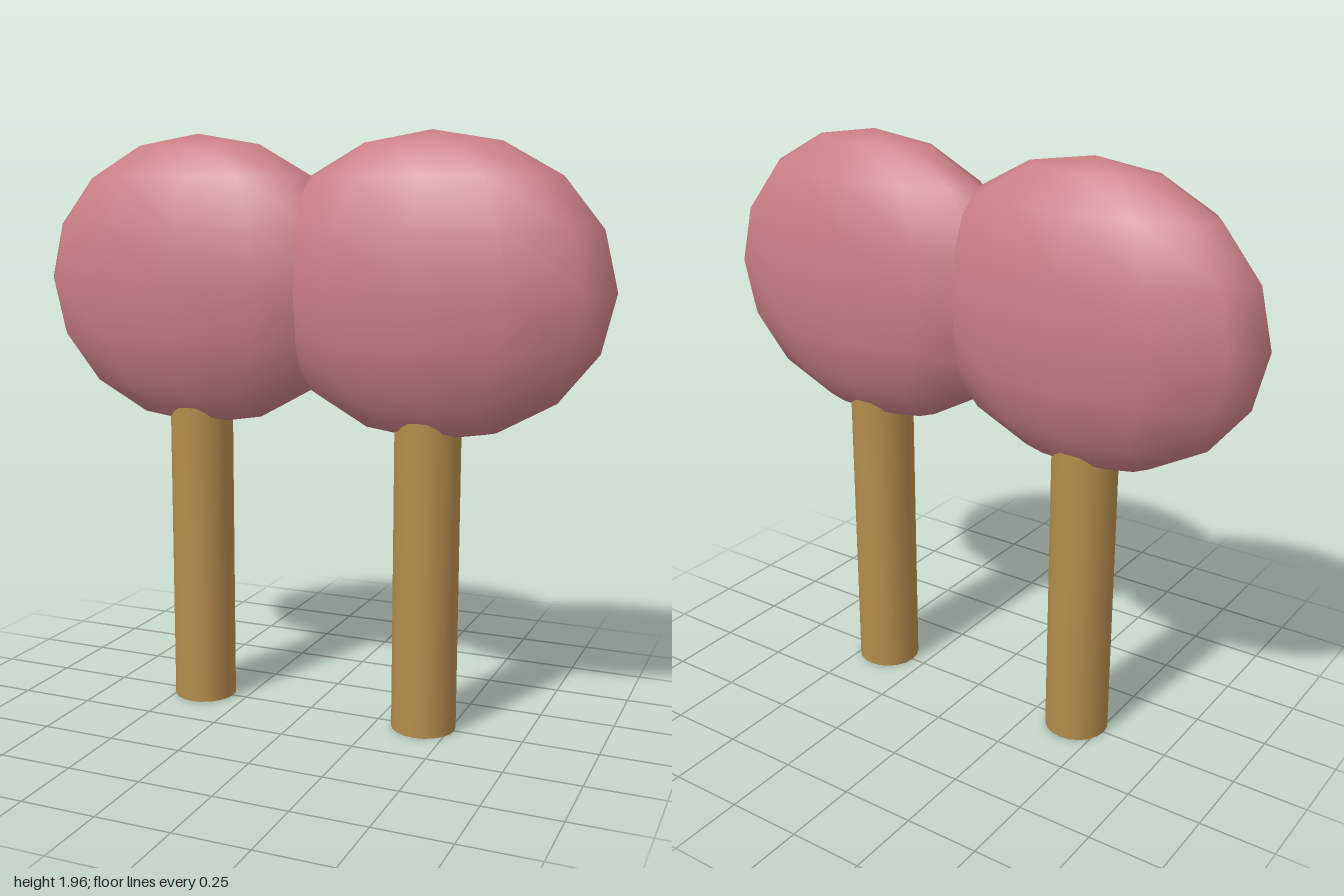
import * as THREE from 'three';

export function createModel() {
  const model = new THREE.Group();
  const crownMaterial = new THREE.MeshStandardMaterial({ color: 0xc87e84 });
  const trunkMaterial = new THREE.MeshStandardMaterial({ color: 0xb48c4c });

  // Flattened ellipsoid crown and round trunk, shared by both trees
  const crownGeometry = new THREE.SphereGeometry(1, 12, 8).scale(0.59, 0.49, 0.225);
  const trunkHeight = 1.1;
  const trunkGeometry = new THREE.CylinderGeometry(0.108, 0.108, trunkHeight, 20);

  for (const [side, x] of [['left', 0.41], ['right', -0.41]]) {
    const tree = new THREE.Group();
    tree.name = `${side}Tree`;
    tree.position.x = x;

    const crown = new THREE.Mesh(crownGeometry, crownMaterial);
    crown.name = `${side}Crown`;
    crown.position.y = 1.467;

    const trunk = new THREE.Mesh(trunkGeometry, trunkMaterial);
    trunk.name = `${side}Trunk`;
    trunk.position.y = trunkHeight / 2;

    tree.add(crown, trunk);
    model.add(tree);
  }
  return model;
}
